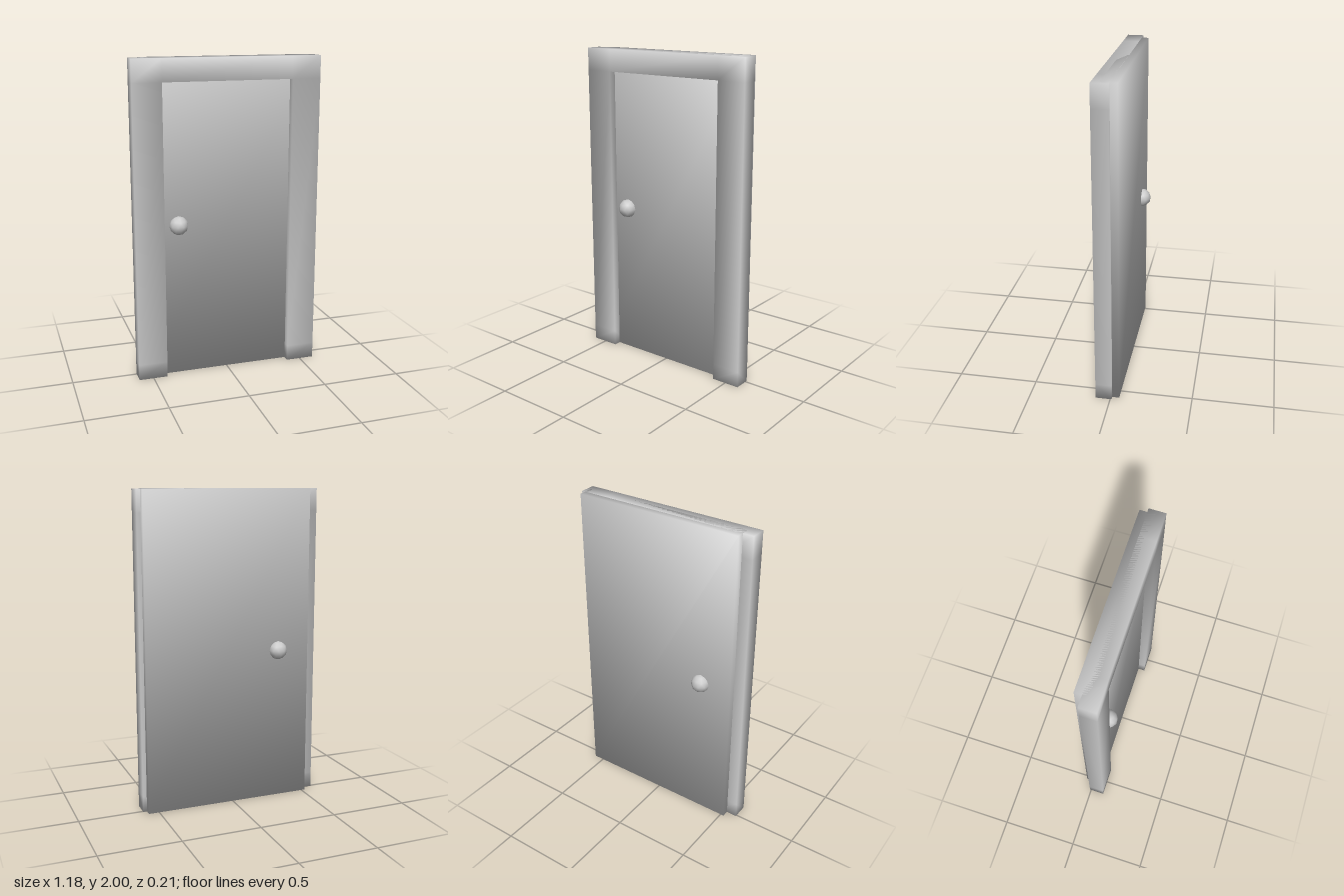
import * as THREE from 'three';
import { mergeVertices } from 'three/addons/utils/BufferGeometryUtils.js';

const material = new THREE.MeshStandardMaterial({ color: 0xcccccc });

// Solid made of grid cells: only outer faces are kept, and the normals are
// shared and averaged evenly around each corner for a soft shaded look.
function gridSolid(xs, ys, zs, filled = () => true) {
  const axes = [xs, ys, zs];
  const pos = [], nor = [], index = [], ids = new Map();
  const solid = (c) =>
    c.every((v, a) => v >= 0 && v < axes[a].length - 1) && filled(c[0], c[1]);

  const vertex = (g, n) => {
    const key = g.join();
    if (!ids.has(key)) {
      ids.set(key, pos.length / 3);
      pos.push(xs[g[0]], ys[g[1]], zs[g[2]]);
      nor.push(0, 0, 0);
    }
    const id = ids.get(key);
    n.forEach((v, a) => { nor[id * 3 + a] += v; });
    return id;
  };

  for (let i = 0; i < xs.length - 1; i++)
    for (let j = 0; j < ys.length - 1; j++)
      for (let k = 0; k < zs.length - 1; k++) {
        if (!solid([i, j, k])) continue;
        for (let a = 0; a < 3; a++)
          for (const s of [-1, 1]) {
            const n = [0, 0, 0];
            n[a] = s;
            if (solid([i + n[0], j + n[1], k + n[2]])) continue;
            const u = (a + 1) % 3, v = (a + 2) % 3;
            const q = [[0, 0], [1, 0], [1, 1], [0, 1]].map(([du, dv]) => {
              const g = [i, j, k];
              if (s > 0) g[a]++;
              g[u] += du;
              g[v] += dv;
              return vertex(g, n);
            });
            if (s < 0) q.reverse();
            index.push(q[0], q[1], q[2], q[0], q[2], q[3]);
          }
      }

  const geometry = new THREE.BufferGeometry();
  geometry.setAttribute('position', new THREE.Float32BufferAttribute(pos, 3));
  geometry.setAttribute('normal', new THREE.Float32BufferAttribute(nor, 3));
  geometry.setIndex(index);
  geometry.normalizeNormals();
  return geometry;
}

// Low-poly ball with one corner pointing up, smooth shaded
function knobGeometry(radius) {
  let geometry = new THREE.IcosahedronGeometry(radius, 1);
  geometry.rotateX(-Math.atan((1 + Math.sqrt(5)) / 2));
  geometry.deleteAttribute('normal');
  geometry.deleteAttribute('uv');
  geometry = mergeVertices(geometry, 1e-4);
  geometry.computeVertexNormals();
  return geometry;
}

export function createModel() {
  const model = new THREE.Group();
  model.name = 'door';
  const add = (name, geometry) => {
    const mesh = new THREE.Mesh(geometry, material);
    mesh.name = name;
    model.add(mesh);
    return mesh;
  };

  // Frame: two posts and a lintel, open at the bottom
  add('frame', gridSolid(
    [-0.592, -0.41, 0.41, 0.592], [0, 0.1, 1.86, 2], [-0.009, 0.092],
    (i, j) => i !== 1 || j === 2));

  // Door panel, set against the back of the frame
  add('panel', gridSolid([-0.523, 0.568], [0, 2], [-0.053, 0.046]));

  // Knobs on both faces
  const knob = knobGeometry(0.06);
  add('frontKnob', knob).position.set(-0.312, 0.98, 0.05);
  add('backKnob', knob).position.set(-0.312, 0.98, -0.05);

  return model;
}
